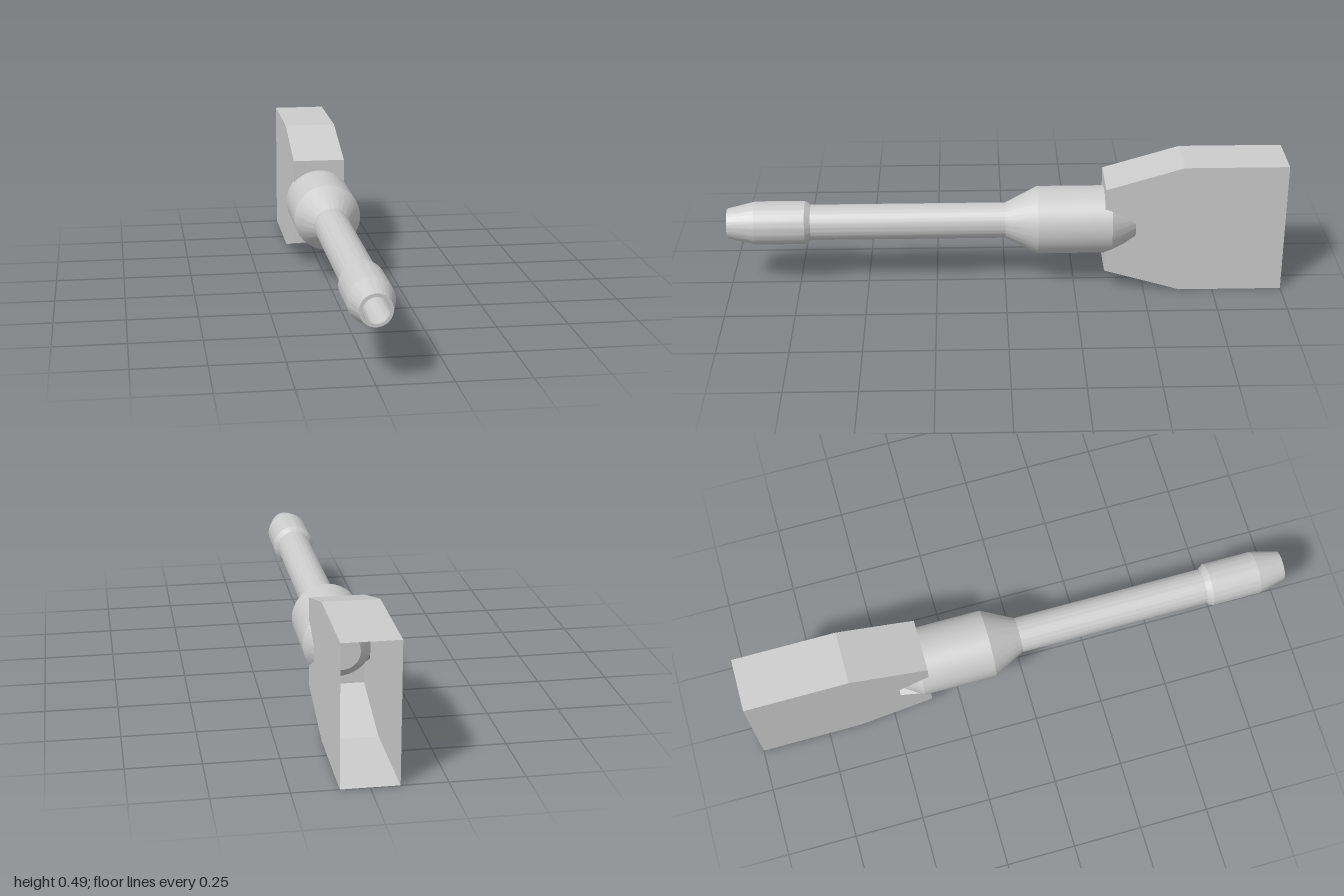
import * as THREE from 'three';
import { toCreasedNormals } from 'three/addons/utils/BufferGeometryUtils.js';

const AXIS_Y = 0.243; // height of the barrel axis
const HALF_W = 0.096; // half width of the housing
const BARREL_R = 0.122;
const FRONT_Z = -0.355, BEND_Z = -0.63, BACK_Z = -1;
const FRONT_H = 0.161, BACK_H = 0.243; // half heights of the housing

export function createModel() {
  const model = new THREE.Group();
  const body = new THREE.Group();
  body.position.y = AXIS_Y;
  model.add(body);
  const material = new THREE.MeshStandardMaterial({ color: 0xcccccc, side: THREE.DoubleSide });

  const add = (name, geometry, parent = body) => {
    const mesh = new THREE.Mesh(geometry, material);
    mesh.name = name;
    parent.add(mesh);
    return mesh;
  };

  // Turned barrel: rear cone, collar, shoulder, tube, tip and bore
  const profile = [
    [0, -0.47], [0.063, -0.47], [BARREL_R, -0.38], [BARREL_R, -0.115],
    [0.064, 0], [0.064, 0.70], [0.078, 0.72], [0.078, 0.9],
    [0.054, 1], [0.043, 1], [0.043, 0.7], [0, 0.7],
  ].map(([r, z]) => new THREE.Vector2(r, z));
  const barrel = new THREE.LatheGeometry(profile, 64);
  barrel.rotateX(Math.PI / 2);
  add('barrel', toCreasedNormals(barrel, 0.2));

  // Thin-walled housing, open at the back
  const housing = new THREE.Group();
  housing.name = 'housing';
  body.add(housing);

  // Side panels with a tapered notch around the barrel; shape x runs towards the back
  const side = new THREE.Shape([
    [-FRONT_Z, 0.085], [-FRONT_Z, FRONT_H], [-BEND_Z, BACK_H], [-BACK_Z, BACK_H],
    [-BACK_Z, -BACK_H], [-BEND_Z, -BACK_H], [-FRONT_Z, -FRONT_H], [-FRONT_Z, -0.085],
    [0.38, -0.075], [0.465, -0.028], [0.465, 0.028], [0.38, 0.075],
  ].map(([x, y]) => new THREE.Vector2(x, y)));
  for (const s of [1, -1]) {
    const panel = add(s > 0 ? 'leftPanel' : 'rightPanel', new THREE.ShapeGeometry(side), housing);
    panel.rotation.y = Math.PI / 2;
    panel.position.x = s * HALF_W;
  }

  // Front wall halves, cut out for the barrel
  const cutY = Math.sqrt(BARREL_R ** 2 - HALF_W ** 2);
  const angle = Math.atan2(cutY, HALF_W);
  const front = new THREE.Shape();
  front.moveTo(-HALF_W, FRONT_H);
  front.lineTo(-HALF_W, cutY);
  front.absarc(0, 0, BARREL_R, Math.PI - angle, angle, true);
  front.lineTo(HALF_W, FRONT_H);

  // Sheet across the width from (z0, y0) to (z1, y1)
  const sheet = (name, z0, y0, z1, y1, s) => {
    const plane = new THREE.PlaneGeometry(2 * HALF_W, Math.hypot(z1 - z0, y1 - y0));
    plane.rotateX(-Math.PI / 2);
    plane.rotateX(Math.atan2(y1 - y0, z0 - z1));
    plane.translate(0, (y0 + y1) / 2, (z0 + z1) / 2);
    if (s < 0) plane.rotateZ(Math.PI);
    add(name, plane, housing);
  };

  for (const s of [1, -1]) {
    const label = s > 0 ? 'upper' : 'lower';
    const wall = new THREE.ShapeGeometry(front, 24);
    if (s < 0) wall.rotateZ(Math.PI);
    wall.translate(0, 0, FRONT_Z);
    add(label + 'FrontWall', wall, housing);
    sheet(label + 'Slope', FRONT_Z, FRONT_H, BEND_Z, BACK_H, s);
    sheet(label + 'Wall', BEND_Z, BACK_H, BACK_Z, BACK_H, s);
  }

  return model;
}
